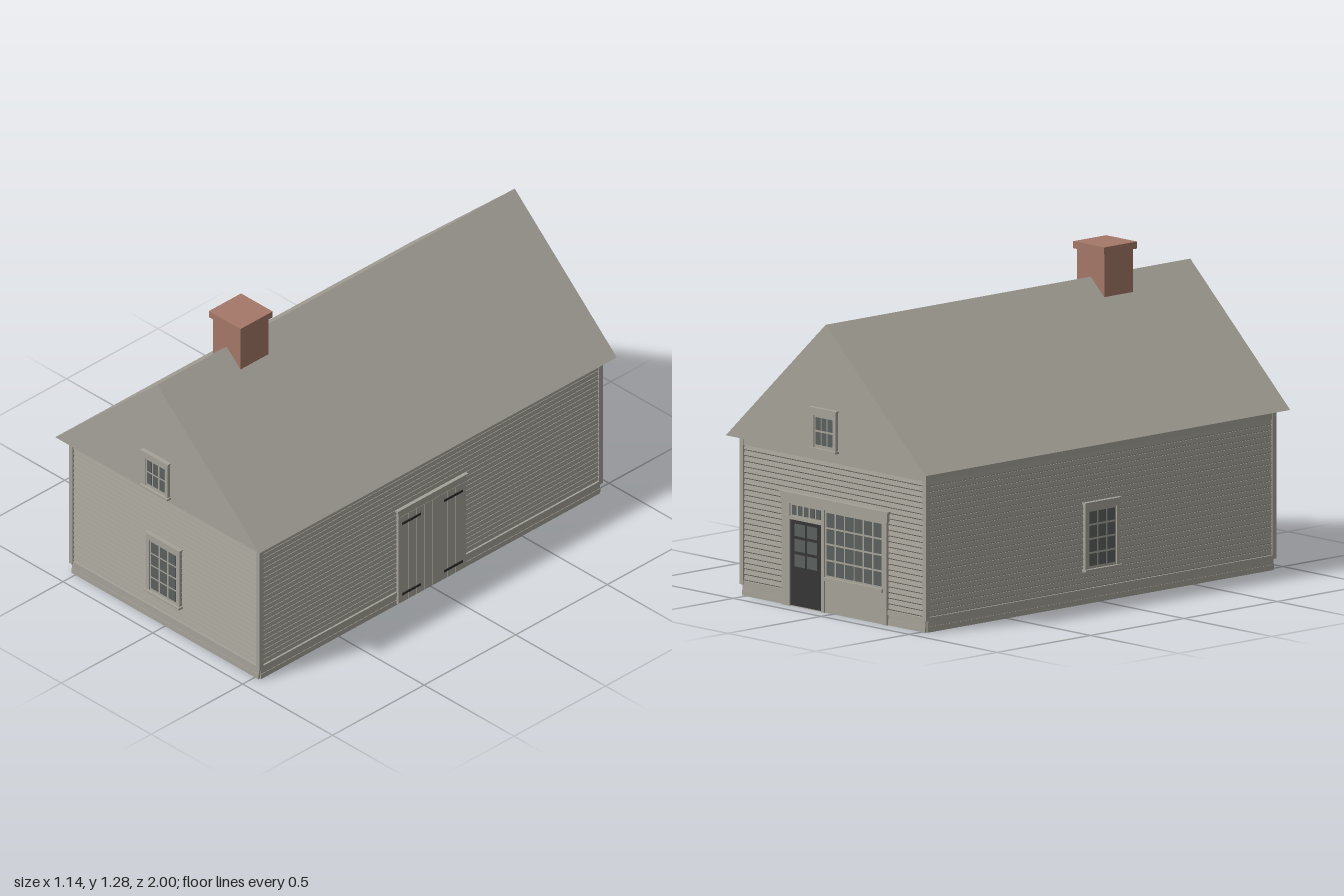
import * as THREE from 'three';

const mat = (name, color) => {
  const m = new THREE.MeshStandardMaterial({ color });
  m.name = name;
  return m;
};

export function createModel() {
  const wood = mat('weathered grey wood', 0xa5a298);
  const roofing = mat('grey roofing', 0xa6a299);
  const brick = mat('red brick', 0xa47767);
  const glass = mat('grey glass', 0x5b5f5d);
  const dark = mat('dark door paint', 0x343635);
  const iron = mat('black iron', 0x2c2c2c);

  const model = new THREE.Group();
  model.name = 'gabledShop';

  const add = (parent, name, geo, material) => {
    const m = new THREE.Mesh(geo, material);
    m.name = name;
    parent.add(m);
    return m;
  };
  // Box given by its limits on each axis
  const box = (parent, name, material, x0, x1, y0, y1, z0, z1) => {
    const m = add(parent, name, new THREE.BoxGeometry(x1 - x0, y1 - y0, z1 - z0), material);
    m.position.set((x0 + x1) / 2, (y0 + y1) / 2, (z0 + z1) / 2);
    return m;
  };
  // Grid of thin panes filling a rectangle
  const panes = (parent, cols, rows, x0, x1, y0, y1, z, gap, material = glass) => {
    const w = (x1 - x0 + gap) / cols, h = (y1 - y0 + gap) / rows;
    for (let i = 0; i < cols; i++) {
      for (let j = 0; j < rows; j++) {
        box(parent, 'pane', material, x0 + i * w, x0 + (i + 1) * w - gap,
          y0 + j * h, y0 + (j + 1) * h - gap, z, z + 0.002);
      }
    }
  };

  // Walls: each group has x along the wall, y up and z outward
  const BOTTOM = 0.06, TOP = 0.6, BOARDS = 24, BACK = -0.012;
  const siding = (length) => {
    const s = new THREE.Shape();
    const step = (TOP - BOTTOM) / BOARDS;
    s.moveTo(BACK, BOTTOM);
    for (let i = 0; i < BOARDS; i++) {
      const y = BOTTOM + i * step;
      s.lineTo(-0.006, y);
      s.lineTo(0, y + 0.005);
      s.lineTo(-0.003, y + step);
    }
    s.lineTo(BACK, TOP);
    const g = new THREE.ExtrudeGeometry(s, { depth: length, bevelEnabled: false });
    g.translate(0, 0, -length / 2);
    g.rotateY(-Math.PI / 2);
    return g;
  };
  const wall = (name, angle, distance, half) => {
    const g = new THREE.Group();
    g.name = name;
    g.rotation.y = angle;
    g.position.set(Math.sin(angle) * distance, 0, Math.cos(angle) * distance);
    model.add(g);
    add(g, 'clapboards', siding(half * 2), wood);
    box(g, 'skirtBoard', wood, -half, half, 0, 0.022, BACK, 0);
    box(g, 'skirtCap', wood, -half, half, 0.022, 0.042, BACK, -0.002);
    box(g, 'waterTable', wood, -half, half, 0.042, BOTTOM, BACK, 0.003);
    box(g, 'friezeBoard', wood, -half, half, TOP, 0.635, BACK, 0.002);
    return g;
  };
  const front = wall('frontWall', 0, 0.933, 0.52);
  const back = wall('backWall', Math.PI, 0.933, 0.52);
  const leftSide = wall('leftWall', Math.PI / 2, 0.526, 0.925);
  const rightSide = wall('rightWall', -Math.PI / 2, 0.526, 0.925);
  for (const sx of [-1, 1]) {
    for (const sz of [-1, 1]) {
      const c = box(model, 'cornerBoard', wood, -0.01, 0.01, 0.045, 0.635, -0.01, 0.01);
      c.position.x = sx * 0.52;
      c.position.z = sz * 0.927;
    }
  }

  // Roof prism with flush gables and a flat soffit
  const gable = new THREE.Shape();
  gable.moveTo(-0.568, 0.635);
  gable.lineTo(0.568, 0.635);
  gable.lineTo(0, 1.155);
  gable.closePath();
  const roofGeo = new THREE.ExtrudeGeometry(gable, { depth: 1.952, bevelEnabled: false });
  roofGeo.translate(0, 0, -0.976);
  add(model, 'roof', roofGeo, [wood, roofing]);

  // Chimney runs through the roof to just under the ceiling
  box(model, 'chimneyStack', brick, -0.077, 0.077, 0.49, 1.257, 0.443, 0.597);
  box(model, 'chimneyCap', brick, -0.088, 0.088, 1.257, 1.285, 0.432, 0.608);

  // Sash window with casing, cap and sill
  const sashWindow = (parent, name, half, y0, y1, cols, rows, paneHalf, p0, p1) => {
    const g = new THREE.Group();
    g.name = name;
    parent.add(g);
    box(g, 'sash', wood, -half, half, y0, y1, -0.005, 0.008);
    for (const s of [-1, 1]) {
      const side = (half + paneHalf + 0.008) / 2;
      box(g, 'casing', wood, s * side - (half - paneHalf - 0.008) / 2,
        s * side + (half - paneHalf - 0.008) / 2, y0, y1, -0.005, 0.013);
    }
    box(g, 'headCasing', wood, -half, half, p1 + 0.008, y1, -0.005, 0.013);
    box(g, 'cap', wood, -half - 0.006, half + 0.006, y1 - 0.005, y1, -0.005, 0.018);
    box(g, 'sill', wood, -half - 0.006, half + 0.006, y0, y0 + 0.009, -0.005, 0.022);
    panes(g, cols, rows, -paneHalf, paneHalf, p0, p1, 0.007, 0.008);
    return g;
  };
  for (const w of [front, rightSide]) {
    sashWindow(w, 'wallWindow', 0.092, 0.13, 0.405, 3, 4, 0.068, 0.15, 0.366);
  }
  for (const w of [front, back]) {
    const attic = sashWindow(w, 'atticWindow', 0.071, 0.653, 0.822, 3, 2, 0.048, 0.675, 0.783);
    attic.position.z = 0.976 - 0.933;
  }

  // Double plank doors with strap hinges
  const doors = new THREE.Group();
  doors.name = 'barnDoors';
  leftSide.add(doors);
  box(doors, 'doorBacking', wood, -0.185, 0.185, 0.005, 0.44, -0.005, 0.005);
  box(doors, 'doorCap', wood, -0.192, 0.192, 0.438, 0.447, -0.005, 0.015);
  box(doors, 'doorHead', wood, -0.185, 0.185, 0.412, 0.438, -0.005, 0.01);
  const joints = [0.001, 0.043, 0.085, 0.127, 0.186];
  for (const s of [-1, 1]) {
    for (let i = 0; i < joints.length - 1; i++) {
      const a = s * (joints[i] + 0.001), b = s * (joints[i + 1] - 0.001);
      box(doors, 'plank', wood, Math.min(a, b), Math.max(a, b), 0.008, 0.41, 0, 0.009);
      if (i > 0) {
        const j = s * joints[i];
        box(doors, 'plankJoint', iron, j - 0.001, j + 0.001, 0.02, 0.41, 0.004, 0.007);
      }
    }
    for (const y of [0.045, 0.376]) {
      const a = s * 0.065, b = s * 0.165;
      box(doors, 'strapHinge', iron, Math.min(a, b), Math.max(a, b), y - 0.005, y + 0.005, 0.008, 0.012);
    }
  }

  // Shop front: entrance with transom beside a wide display window
  const shop = new THREE.Group();
  shop.name = 'shopFront';
  back.add(shop);
  box(shop, 'backPanel', wood, -0.285, 0.31, 0.0, 0.445, -0.005, 0.004);
  box(shop, 'header', wood, -0.29, 0.315, 0.41, 0.445, -0.005, 0.012);
  box(shop, 'headerCap', wood, -0.297, 0.322, 0.443, 0.452, -0.005, 0.016);
  for (const [a, b] of [[-0.285, -0.24], [-0.062, -0.045], [0.285, 0.31]]) {
    box(shop, 'pilaster', wood, a, b, 0, 0.41, -0.005, 0.01);
  }
  box(shop, 'doorLeaf', dark, -0.238, -0.064, 0.004, 0.345, 0, 0.006);
  panes(shop, 2, 3, -0.215, -0.087, 0.16, 0.33, 0.005, 0.012);
  box(shop, 'transomBar', wood, -0.24, -0.062, 0.345, 0.358, 0, 0.01);
  panes(shop, 5, 1, -0.233, -0.069, 0.364, 0.402, 0.003, 0.008);
  panes(shop, 6, 4, -0.036, 0.276, 0.15, 0.398, 0.003, 0.008);
  box(shop, 'displaySill', wood, -0.045, 0.29, 0.128, 0.142, 0, 0.016);

  return model;
}
